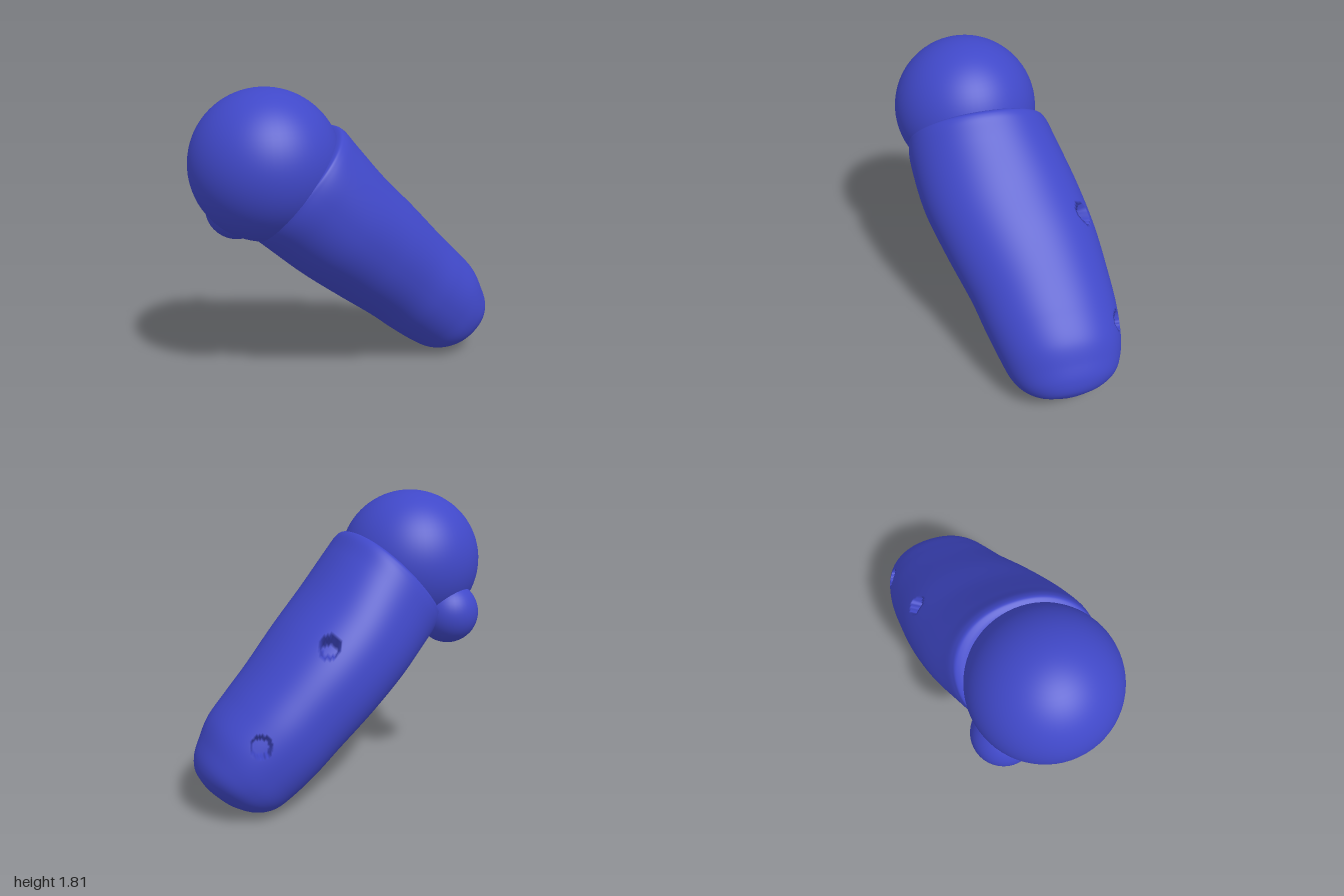
import * as THREE from 'three';

const material = new THREE.MeshStandardMaterial({ color: 0x4048c8 });

// Slanted frame of the body: U runs down its length, N across it, Z is depth.
const U = new THREE.Vector3(0.742, -0.67, 0).normalize();
const N = new THREE.Vector3(0.67, 0.742, 0).normalize();
const place = (s, t, z) => new THREE.Vector3(0, 0, z).addScaledVector(U, s).addScaledVector(N, t);

// Cross-sections: [distance along U, low N, high N, back z, front z]
const sections = [
  [-1.15, 0.67, 0.67, 0.08, 0.08],
  [-1.155, 0.4, 0.96, -0.22, 0.38],
  [-1.15, 0.29, 1.065, -0.33, 0.49],
  [-1.11, 0.27, 1.097, -0.365, 0.515],
  [-0.98, 0.27, 1.083, -0.405, 0.52],
  [-0.7, 0.276, 1.055, -0.48, 0.49],
  [-0.4, 0.3, 1.047, -0.53, 0.41],
  [-0.1, 0.33, 1.03, -0.55, 0.315],
  [0.1, 0.342, 1.022, -0.555, 0.265],
  [0.28, 0.36, 1.01, -0.54, 0.215],
  [0.41, 0.39, 0.963, -0.51, 0.17],
  [0.5, 0.46, 0.92, -0.45, 0.11],
  [0.56, 0.56, 0.86, -0.34, 0.02],
  [0.585, 0.65, 0.78, -0.22, -0.09],
  [0.59, 0.715, 0.715, -0.155, -0.155],
];

// Round blind holes in the back: centre on the surface, centre line target
const holes = [
  { at: new THREE.Vector3(0.27, 1.0, -0.425), to: place(-0.47, 0.67, -0.06) },
  { at: new THREE.Vector3(0.72, 0.5, -0.5), to: place(0.2, 0.69, -0.16) },
];
const HOLE_RADIUS = 0.055;
const HOLE_DEPTH = 0.12;

// Pushes surface points inside a hole's radius inwards and tidies its rim.
function sinkHoles(p) {
  for (const { at, to } of holes) {
    const axis = to.clone().sub(at).normalize();
    const offset = p.clone().sub(at);
    const along = offset.dot(axis);
    if (Math.abs(along) > 0.15) continue;
    const radial = offset.addScaledVector(axis, -along);
    const r = radial.length();
    if (r < HOLE_RADIUS) {
      if (r > HOLE_RADIUS * 0.85) p.addScaledVector(radial, HOLE_RADIUS * 0.97 / r - 1);
      p.addScaledVector(axis, HOLE_DEPTH);
    } else if (r < HOLE_RADIUS * 1.12) {
      p.addScaledVector(radial, HOLE_RADIUS / r - 1);
    }
  }
  return p;
}

function bodyGeometry(rows = 224, cols = 200) {
  const spline = (f) => new THREE.CatmullRomCurve3(sections.map(f), false, 'catmullrom', 0.5);
  const across = spline(([s, a, b]) => new THREE.Vector3(s, a, b));
  const depth = spline(([s, , , a, b]) => new THREE.Vector3(s, a, b));
  const soft = (v) => Math.sign(v) * Math.abs(v) ** 0.92;
  const positions = [];
  const indices = [];
  for (let i = 0; i <= rows; i++) {
    const n = across.getPoint(i / rows);
    const d = depth.getPoint(i / rows);
    for (let j = 0; j < cols; j++) {
      const angle = (j / cols) * Math.PI * 2;
      const t = (n.y + n.z) / 2 + ((n.z - n.y) / 2) * soft(Math.cos(angle));
      const z = (d.y + d.z) / 2 + ((d.z - d.y) / 2) * soft(Math.sin(angle));
      positions.push(...sinkHoles(place(n.x, t, z)).toArray());
      if (i === rows) continue;
      const a = i * cols + j;
      const b = i * cols + ((j + 1) % cols);
      indices.push(a, b, a + cols, b, b + cols, a + cols);
    }
  }
  const geometry = new THREE.BufferGeometry();
  geometry.setAttribute('position', new THREE.Float32BufferAttribute(positions, 3));
  geometry.setIndex(indices);
  geometry.computeVertexNormals();
  return geometry;
}

export function createModel() {
  const group = new THREE.Group();
  const add = (name, geometry, x = 0, y = 0, z = 0) => {
    const mesh = new THREE.Mesh(geometry, material);
    mesh.name = name;
    mesh.position.set(x, y, z);
    group.add(mesh);
  };
  add('body', bodyGeometry());
  // Large ball seated in the upper end, small ball tucked behind it
  add('largeBall', new THREE.SphereGeometry(0.447, 64, 40), -0.553, 1.368, 0.107);
  add('smallBall', new THREE.SphereGeometry(0.195, 40, 28), -0.68, 1.06, -0.17);
  return group;
}
